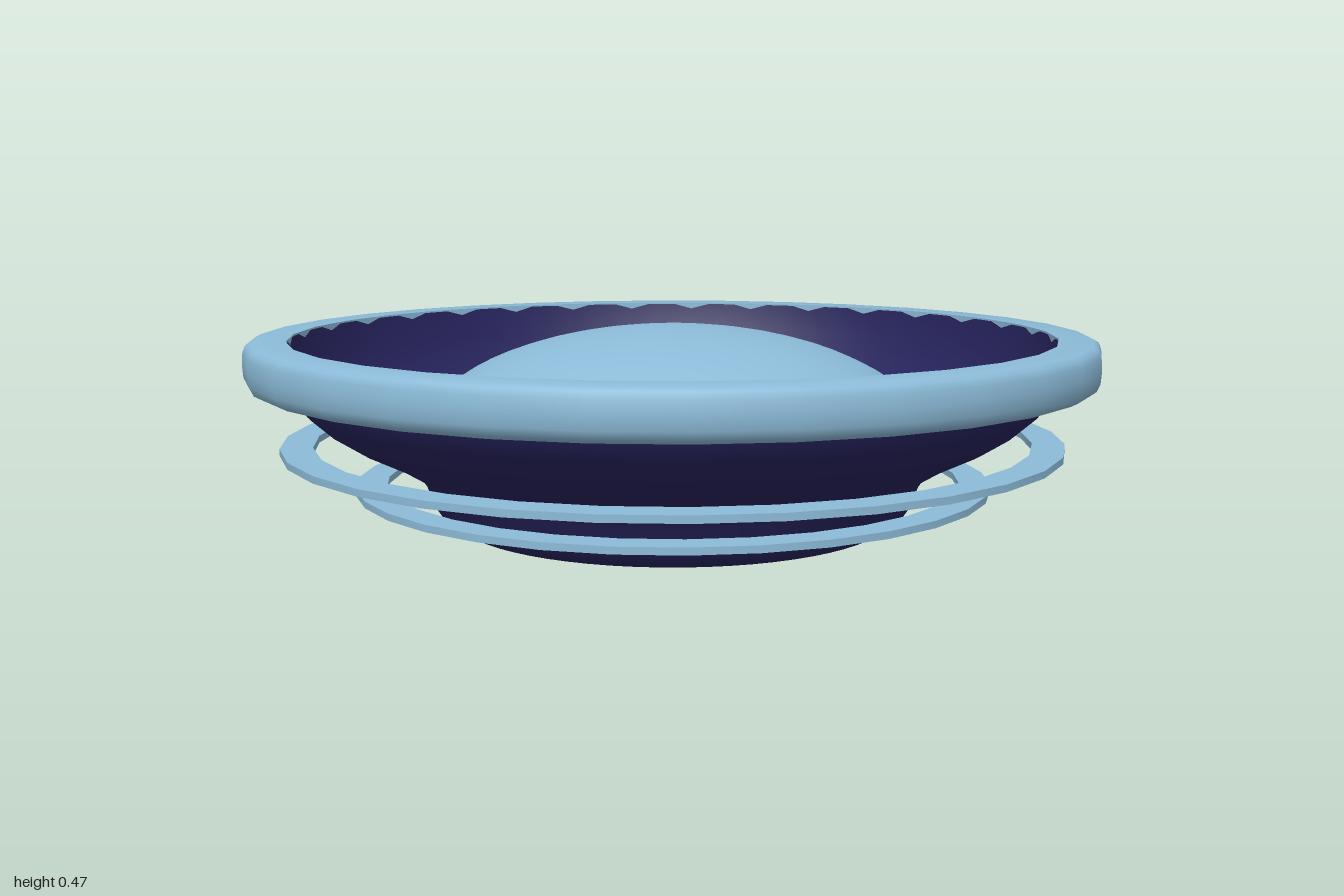
import * as THREE from 'three';
import { toCreasedNormals } from 'three/addons/utils/BufferGeometryUtils.js';

const paleBlue = new THREE.MeshStandardMaterial({ color: 0x8cbbd8 });
const navy = new THREE.MeshStandardMaterial({ color: 0x26235c });

// Turned part from [radius, height] pairs, running up the outside and down the inside
function turned(name, profile, segments, material, crease) {
  const points = profile.map(([r, y]) => new THREE.Vector2(r, y));
  const geometry = toCreasedNormals(new THREE.LatheGeometry(points, segments), crease);
  const mesh = new THREE.Mesh(geometry, material);
  mesh.name = name;
  return mesh;
}

// Flat hoop floating around the bowl
function hoop(name, inner, outer, y) {
  const h = 0.008;
  return turned(name, [
    [inner, y - h], [outer, y - h], [outer, y + h], [inner, y + h], [inner, y - h],
  ], 32, paleBlue, 0.6);
}

export function createModel() {
  const model = new THREE.Group();

  // Bowl with an S-curved wall and hollow inside
  model.add(turned('bowl', [
    [0, 0], [0.52, 0], [0.555, 0.02], [0.575, 0.05], [0.593, 0.1], [0.61, 0.125],
    [0.68, 0.168], [0.765, 0.21], [0.82, 0.245], [0.865, 0.285], [0.905, 0.345],
    [0.915, 0.435], [0.9, 0.443],
    [0.885, 0.37], [0.85, 0.3], [0.8, 0.255], [0.72, 0.22], [0.64, 0.165],
    [0.6, 0.13], [0, 0.13],
  ], 64, navy, 0.7));

  // Thick rounded rim
  model.add(turned('rim', [
    [0.9, 0.342], [0.975, 0.342], [0.99, 0.35], [0.998, 0.368], [1, 0.395],
    [0.998, 0.425], [0.992, 0.44], [0.98, 0.447], [0.902, 0.447], [0.9, 0.342],
  ], 32, paleBlue, 0.75));

  // Flattened dome resting inside the bowl
  const dome = new THREE.Mesh(
    new THREE.SphereGeometry(1, 32, 16, 0, Math.PI * 2, 0, Math.PI / 2), paleBlue);
  dome.name = 'dome';
  dome.scale.set(0.635, 0.3, 0.635);
  dome.position.y = 0.165;
  model.add(dome);

  model.add(hoop('upperHoop', 0.85, 0.925, 0.193));
  model.add(hoop('lowerHoop', 0.685, 0.757, 0.092));
  return model;
}
